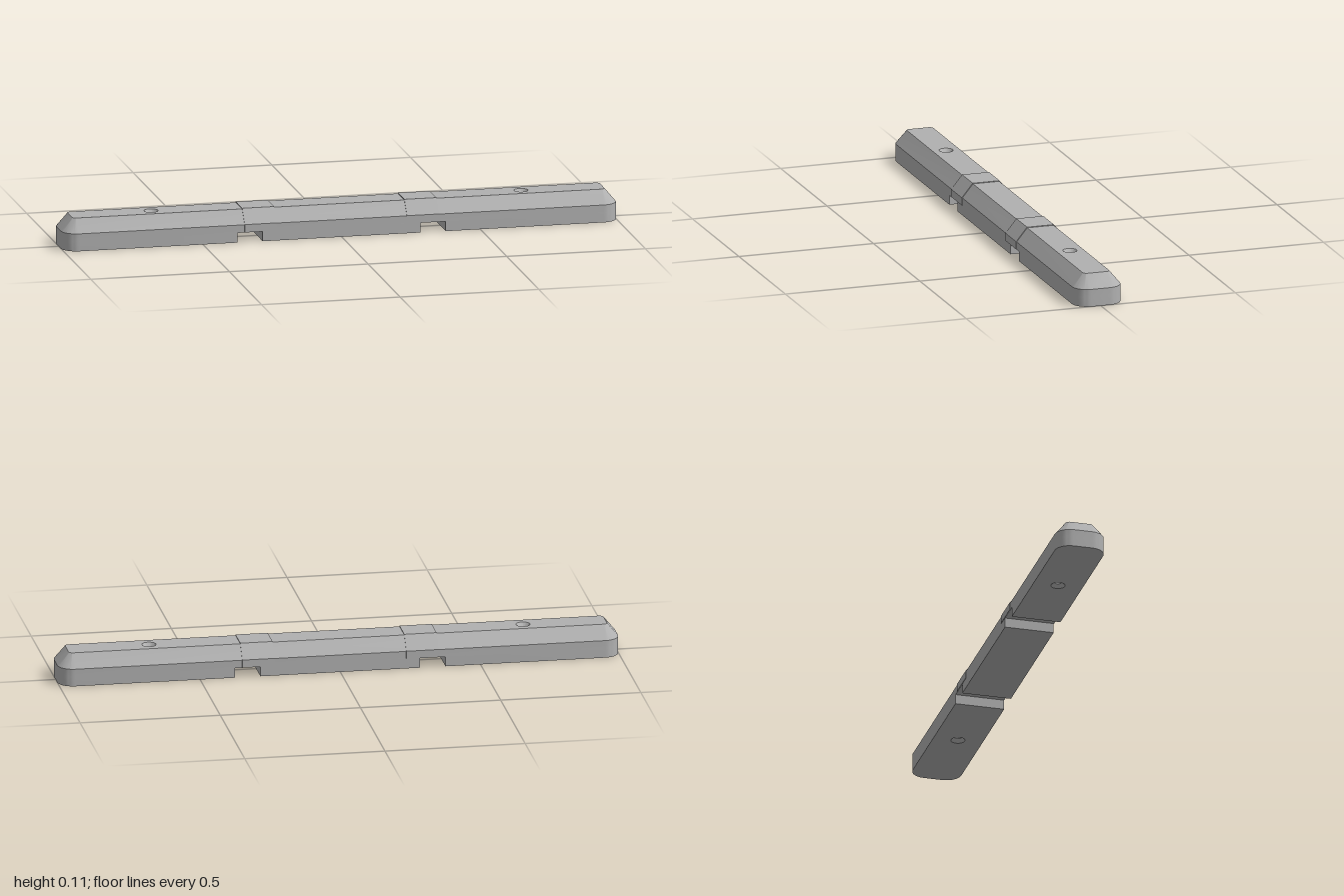
import * as THREE from 'three';
import { toCreasedNormals } from 'three/addons/utils/BufferGeometryUtils.js';

const HX = 1, HZ = 0.0885, CORNER = 0.055;      // plan of the base
const SLOT_Y = 0.035, SHOULDER_Y = 0.063, TOP_Y = 0.111;
const SLOT_IN = 0.285, SLOT_OUT = 0.375;        // drainage slots
const HOLE_X = 0.667, HOLE_R = 0.025;

// Rounded rectangle outline, counter-clockwise, always the same point count
function outline(hx, hz, r, steps = 10) {
  const points = [];
  [[1, 1], [-1, 1], [-1, -1], [1, -1]].forEach(([sx, sz], quarter) => {
    for (let i = 0; i <= steps; i++) {
      const a = (quarter + i / steps) * Math.PI / 2;
      points.push(new THREE.Vector2(sx * (hx - r) + r * Math.cos(a), sz * (hz - r) + r * Math.sin(a)));
    }
  });
  return points;
}

function addHole(shape, x) {
  shape.holes.push(new THREE.Path().absarc(x, 0, HOLE_R, 0, Math.PI * 2, true));
  return shape;
}

// Skin between stacked outlines
function loft(rings) {
  const pos = [];
  for (let k = 0; k < rings.length - 1; k++) {
    const lo = rings[k], up = rings[k + 1], n = lo.points.length;
    for (let i = 0; i < n; i++) {
      const j = (i + 1) % n;
      const put = (ring, q) => pos.push(ring.points[q].x, ring.y, -ring.points[q].y);
      put(lo, i); put(lo, j); put(up, j);
      put(lo, i); put(up, j); put(up, i);
    }
  }
  const geometry = new THREE.BufferGeometry();
  geometry.setAttribute('position', new THREE.Float32BufferAttribute(pos, 3));
  return geometry;
}

export function createModel() {
  const group = new THREE.Group();
  group.name = 'parkingStop';
  const grey = new THREE.MeshStandardMaterial({ color: 0xb0b0b0 });
  grey.name = 'concreteGrey';

  const add = (name, geometry) => {
    const mesh = new THREE.Mesh(toCreasedNormals(geometry, 0.5), grey);
    mesh.name = name;
    group.add(mesh);
    return mesh;
  };

  // Upper body: upright wall, then bevel to the flat top
  const base = outline(HX, HZ, CORNER);
  const crown = outline(0.96, 0.049, 0.014);
  add('bodySides', loft([
    { points: base, y: SLOT_Y },
    { points: base, y: SHOULDER_Y },
    { points: crown, y: TOP_Y },
  ]));

  // Flat faces pierced by both anchor holes
  const cap = (points) => addHole(addHole(new THREE.Shape(points), HOLE_X), -HOLE_X);
  add('bodyTop', new THREE.ShapeGeometry(cap(crown), 24).rotateX(-Math.PI / 2).translate(0, TOP_Y, 0));
  add('slotCeiling', new THREE.ShapeGeometry(cap(base), 24).rotateX(Math.PI / 2).translate(0, SLOT_Y, 0));

  // Feet below the slots
  add('middleFoot', new THREE.BoxGeometry(SLOT_IN * 2, SLOT_Y, HZ * 2).translate(0, SLOT_Y / 2, 0));
  for (const side of [1, -1]) {
    const label = side > 0 ? 'left' : 'right';
    const half = base.filter((p) => p.x > SLOT_OUT);
    const lower = half.filter((p) => p.y < 0), upper = half.filter((p) => p.y >= 0);
    const footShape = addHole(new THREE.Shape([
      new THREE.Vector2(SLOT_OUT, -HZ), ...lower, ...upper, new THREE.Vector2(SLOT_OUT, HZ),
    ]), HOLE_X);
    const foot = new THREE.ExtrudeGeometry(footShape, { depth: SLOT_Y, bevelEnabled: false, curveSegments: 24 });
    foot.rotateX(-Math.PI / 2);
    if (side < 0) foot.rotateY(Math.PI);
    add(label + 'Foot', foot);

    // Countersunk anchor hole, facing inwards
    const bore = [[HOLE_R, TOP_Y], [0.014, 0.098], [0.014, 0.013], [HOLE_R, 0]];
    add(label + 'AnchorHole', new THREE.LatheGeometry(bore.map(([r, y]) => new THREE.Vector2(r, y)), 32)
      .translate(side * HOLE_X, 0, 0));

    // Slightly raised band above the slot
    const profile = [[0.0905, 0.036], [0.0905, 0.064], [0.05, 0.1135], [-0.05, 0.1135], [-0.0905, 0.064], [-0.0905, 0.036]];
    const band = new THREE.ExtrudeGeometry(
      new THREE.Shape(profile.map(([z, y]) => new THREE.Vector2(z, y))),
      { depth: 0.115, bevelEnabled: false });
    band.translate(0, 0, -0.0575).rotateY(Math.PI / 2).translate(side * 0.2925, 0, 0);
    add(label + 'RaisedBand', band);
  }
  return group;
}
